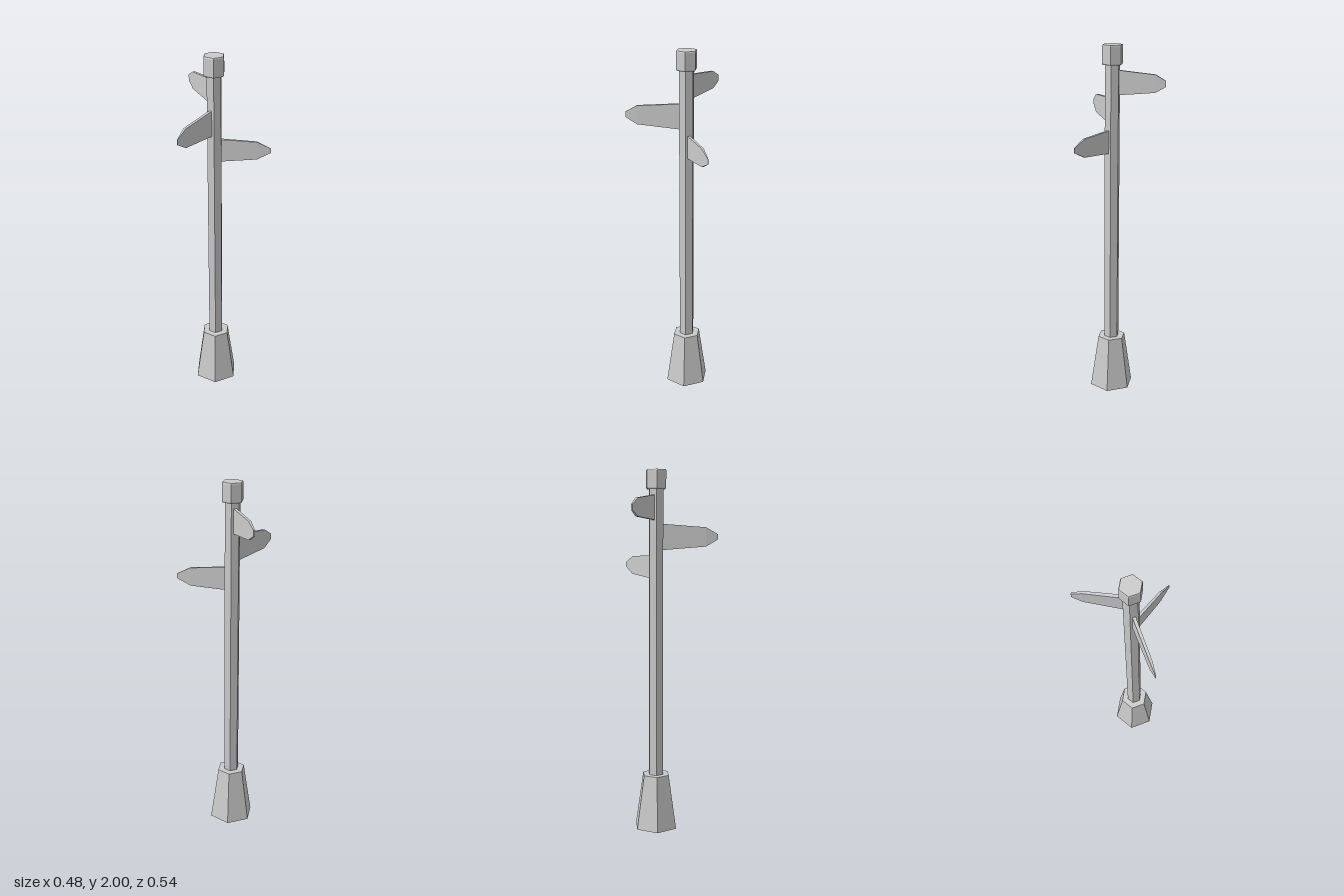
import * as THREE from 'three';

const material = new THREE.MeshStandardMaterial({ color: 0xcccccc, flatShading: true });

// Hexagonal column segment from y0 to y1, corners pointing along z
function hexPart(name, rTop, rBottom, y0, y1) {
  const geo = new THREE.CylinderGeometry(rTop, rBottom, y1 - y0, 6);
  geo.translate(0, (y0 + y1) / 2, 0);
  const mesh = new THREE.Mesh(geo, material);
  mesh.name = name;
  return mesh;
}

// Pointed board; each station is [distance from post axis, half height, half thickness]
function board(name, y, angle, stations) {
  const geo = new THREE.BoxGeometry(2, 2, 2, 2, 1, 1);
  const pos = geo.attributes.position;
  for (let i = 0; i < pos.count; i++) {
    const [d, h, t] = stations[Math.round(pos.getX(i)) + 1];
    pos.setXYZ(i, d, pos.getY(i) * h, pos.getZ(i) * t);
  }
  geo.computeVertexNormals();
  const mesh = new THREE.Mesh(geo, material);
  mesh.name = name;
  mesh.position.y = y;
  mesh.rotation.y = THREE.MathUtils.degToRad(angle);
  return mesh;
}

export function createModel() {
  const group = new THREE.Group();
  group.name = 'signpost';

  // Foot, post and cap
  group.add(hexPart('foot', 0.08, 0.127, 0, 0.308));
  group.add(hexPart('post', 0.043, 0.043, 0.3, 1.9));

  // Cap with small bevels above and below
  const profile = [[0, 1.895], [0.056, 1.895], [0.06, 1.902], [0.06, 1.994], [0.057, 2], [0, 2]];
  const cap = new THREE.Mesh(
    new THREE.LatheGeometry(profile.map(([x, y]) => new THREE.Vector2(x, y)), 6), material);
  cap.name = 'cap';
  group.add(cap);

  // Direction boards, lowest to highest
  group.add(board('lowerBoard', 1.477, 0,
    [[0.03, 0.064, 0.008], [0.228, 0.05, 0.006], [0.303, 0.013, 0.0015]]));
  group.add(board('middleBoard', 1.64, -120.5,
    [[0.03, 0.071, 0.0085], [0.272, 0.052, 0.007], [0.337, 0.015, 0.0015]]));
  group.add(board('upperBoard', 1.799, 120.5,
    [[0.03, 0.067, 0.009], [0.234, 0.048, 0.007], [0.289, 0.016, 0.004]]));

  for (const part of group.children) {
    part.position.x = -0.066;
    part.position.z = -0.022;
  }
  return group;
}
